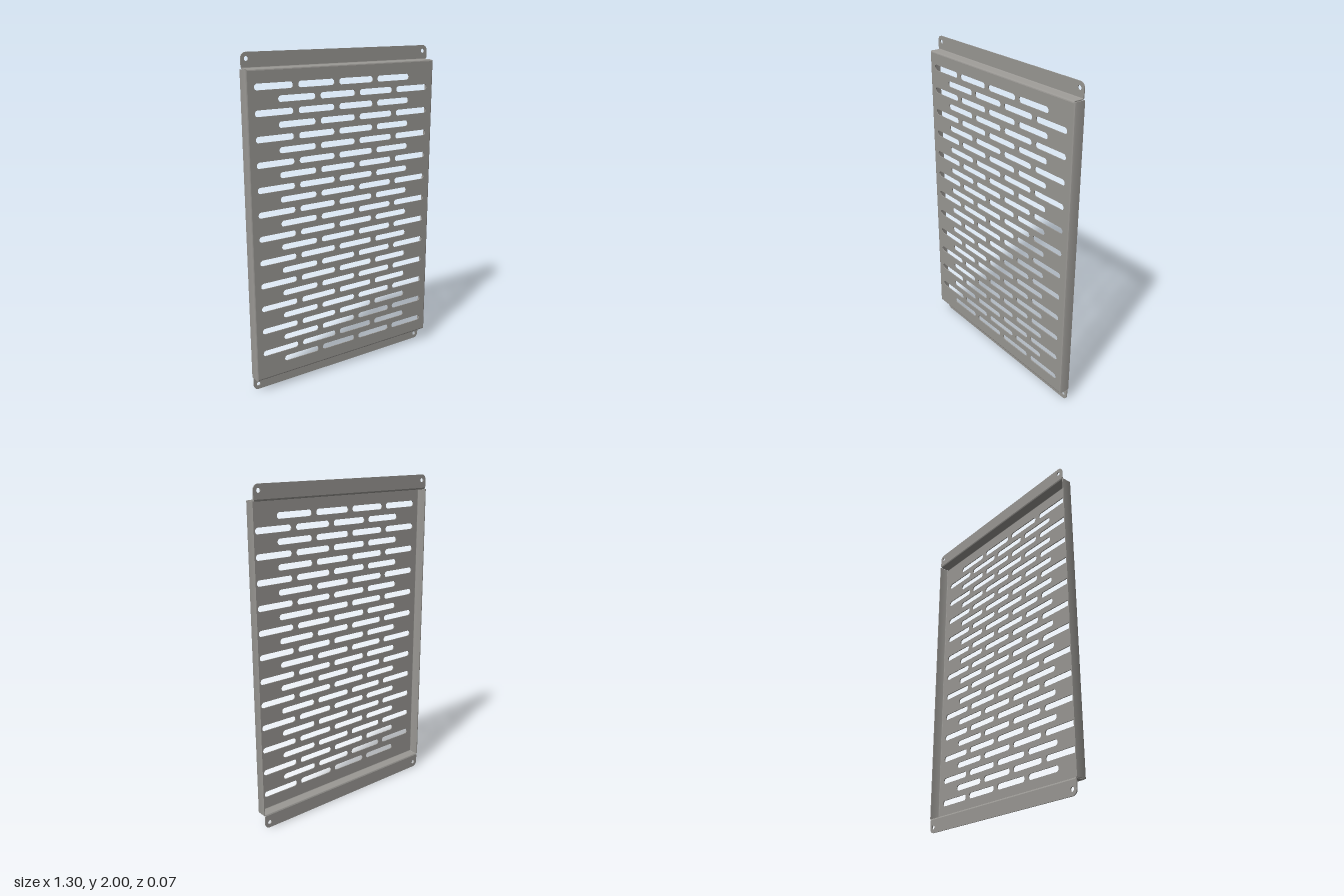
import * as THREE from 'three';
import { toCreasedNormals } from 'three/addons/utils/BufferGeometryUtils.js';

const T = 0.006;            // sheet thickness
const W = 0.648;            // half width over the side flanges
const TOP = 1.915;          // upper edge of the raised panel
const F = 0.033;            // half depth
const RO = 0.01, RI = RO - T; // outer and inner bend radius

export function createModel() {
  const steel = new THREE.MeshStandardMaterial({ color: 0x999793 });
  steel.name = 'grey sheet steel';
  const model = new THREE.Group();
  model.name = 'ventilationPanel';

  const extrude = (shape, depth) =>
    new THREE.ExtrudeGeometry(shape, { depth, bevelEnabled: false, curveSegments: 8 });
  const addMesh = (parent, name, geometry) => {
    const mesh = new THREE.Mesh(toCreasedNormals(geometry, 0.6), steel);
    mesh.name = name;
    parent.add(mesh);
    return mesh;
  };

  // Front panel with staggered rows of slots
  const px = W - RO, py = TOP - RO;
  const panel = new THREE.Shape();
  panel.moveTo(-px, 2 - py).lineTo(px, 2 - py).lineTo(px, py).lineTo(-px, py).closePath();
  const rows = 24, perRow = 4, r = 0.018, straight = 0.102;
  for (let i = 0; i < rows; i++) {
    const y = 1.82 - i * 0.0711;
    for (let j = 0; j < perRow; j++) {
      const x = (i % 2 ? -0.336 : -0.48) + j * 0.272;
      const slot = new THREE.Path();
      slot.moveTo(x - straight, y - r);
      slot.lineTo(x + straight, y - r);
      slot.absarc(x + straight, y, r, -Math.PI / 2, Math.PI / 2, false);
      slot.lineTo(x - straight, y + r);
      slot.absarc(x - straight, y, r, Math.PI / 2, Math.PI * 1.5, false);
      panel.holes.push(slot);
    }
  }
  addMesh(model, 'slottedPanel', extrude(panel, T).translate(0, 0, F - T));

  // Side flanges: L-shaped bend in x and z, run along y
  const bend = new THREE.Shape();
  bend.moveTo(px, F - T);
  bend.lineTo(px, F);
  bend.absarc(px, F - RO, RO, Math.PI / 2, 0, true);
  bend.lineTo(W, -F);
  bend.lineTo(W - T, -F);
  bend.lineTo(W - T, F - RO);
  bend.absarc(px, F - RO, RI, 0, Math.PI / 2, false);
  const sideLength = 2 * (TOP - 1) - 0.008;
  const sideGeometry = extrude(bend, sideLength)
    .rotateX(Math.PI / 2).translate(0, 1 + sideLength / 2, 0);
  addMesh(model, 'leftSideFlange', sideGeometry);
  addMesh(model, 'rightSideFlange', sideGeometry.clone().rotateZ(Math.PI).translate(0, 2, 0));

  // Stepped bend in z and y, run along x
  const step = new THREE.Shape();
  const backZ = -F + RO, flangeY = TOP + RI;
  step.moveTo(F, py);
  step.absarc(F - RO, py, RO, 0, Math.PI / 2, false);
  step.lineTo(backZ, TOP);
  step.absarc(backZ, flangeY, RI, -Math.PI / 2, -Math.PI, true);
  step.lineTo(-F, flangeY);
  step.absarc(backZ, flangeY, RO, Math.PI, Math.PI * 1.5, false);
  step.lineTo(F - RO, TOP - T);
  step.absarc(F - RO, py, RI, Math.PI / 2, 0, true);
  const stepGeometry = extrude(step, 2 * px).rotateY(-Math.PI / 2).translate(px, 0, 0);

  // Mounting flange with rounded outer corners and screw holes
  const fx = 0.642, cr = 0.032;
  const tab = new THREE.Shape();
  tab.moveTo(-fx, flangeY);
  tab.lineTo(fx, flangeY);
  tab.lineTo(fx, 2 - cr);
  tab.absarc(fx - cr, 2 - cr, cr, 0, Math.PI / 2, false);
  tab.lineTo(-fx + cr, 2);
  tab.absarc(-fx + cr, 2 - cr, cr, Math.PI / 2, Math.PI, false);
  for (const s of [-1, 1]) {
    tab.holes.push(new THREE.Path().absarc(s * 0.61, 1.966, 0.013, 0, Math.PI * 2, true));
  }
  const tabGeometry = extrude(tab, T).translate(0, 0, -F);

  for (const end of ['top', 'bottom']) {
    const group = new THREE.Group();
    group.name = end + 'Mount';
    addMesh(group, end + 'Step', stepGeometry);
    addMesh(group, end + 'MountingFlange', tabGeometry);
    if (end === 'bottom') {
      group.rotation.z = Math.PI;
      group.position.y = 2;
    }
    model.add(group);
  }
  return model;
}
